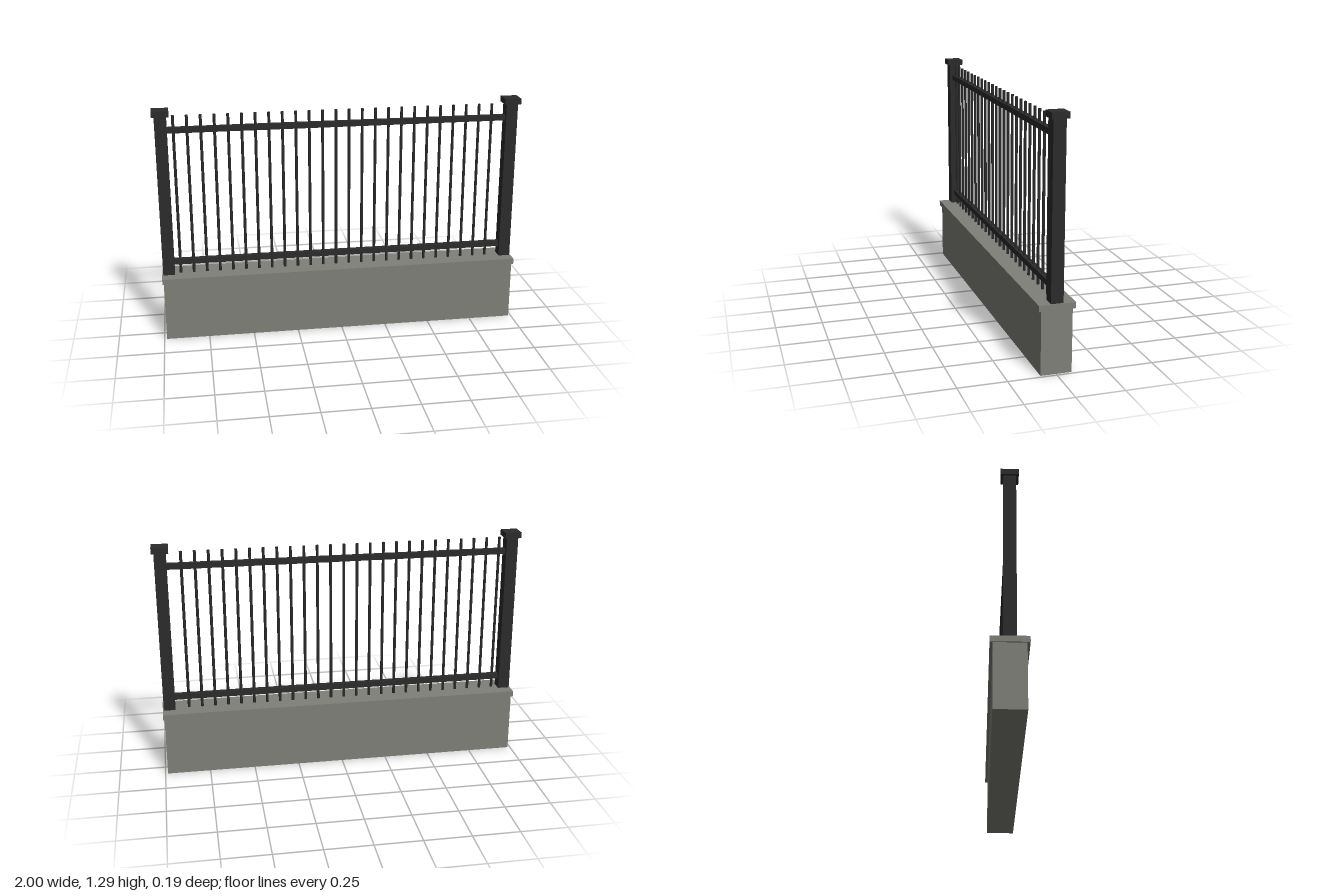
import * as THREE from 'three';

export function createModel() {
  const group = new THREE.Group();
  const stone = new THREE.MeshStandardMaterial({ color: 0x7f8079 });
  stone.name = 'grey stone';
  const iron = new THREE.MeshStandardMaterial({ color: 0x2b2b2b });
  iron.name = 'black iron';

  const add = (name, geometry, material, x, y) => {
    const mesh = new THREE.Mesh(geometry, material);
    mesh.name = name;
    mesh.position.set(x, y, 0);
    group.add(mesh);
  };
  // Box between two heights, centred on z = 0
  const block = (name, w, d, y0, y1, material, x = 0) =>
    add(name, new THREE.BoxGeometry(w, y1 - y0, d), material, x, (y0 + y1) / 2);

  // Low wall and its coping
  block('wall', 1.972, 0.16, 0, 0.332, stone);
  block('coping', 1.986, 0.188, 0.332, 0.363, stone);

  // End posts with flat caps
  for (const [side, s] of [['left', 1], ['right', -1]]) {
    block(side + 'Post', 0.064, 0.064, 0.363, 1.255, iron, s * 0.955);
    block(side + 'PostCap', 0.09, 0.09, 1.255, 1.286, iron, s * 0.955);
  }

  // Horizontal rails
  block('lowerRail', 1.85, 0.03, 0.416, 0.446, iron);
  block('upperRail', 1.85, 0.03, 1.16, 1.19, iron);

  // Slim upright bars, evenly spaced from the right post
  const bar = new THREE.CylinderGeometry(0.0078, 0.0078, 0.891, 8);
  for (let i = 0; i < 25; i++) add('bar' + (i + 1), bar, iron, -0.89 + i * 0.0724, 0.8085);

  return group;
}
